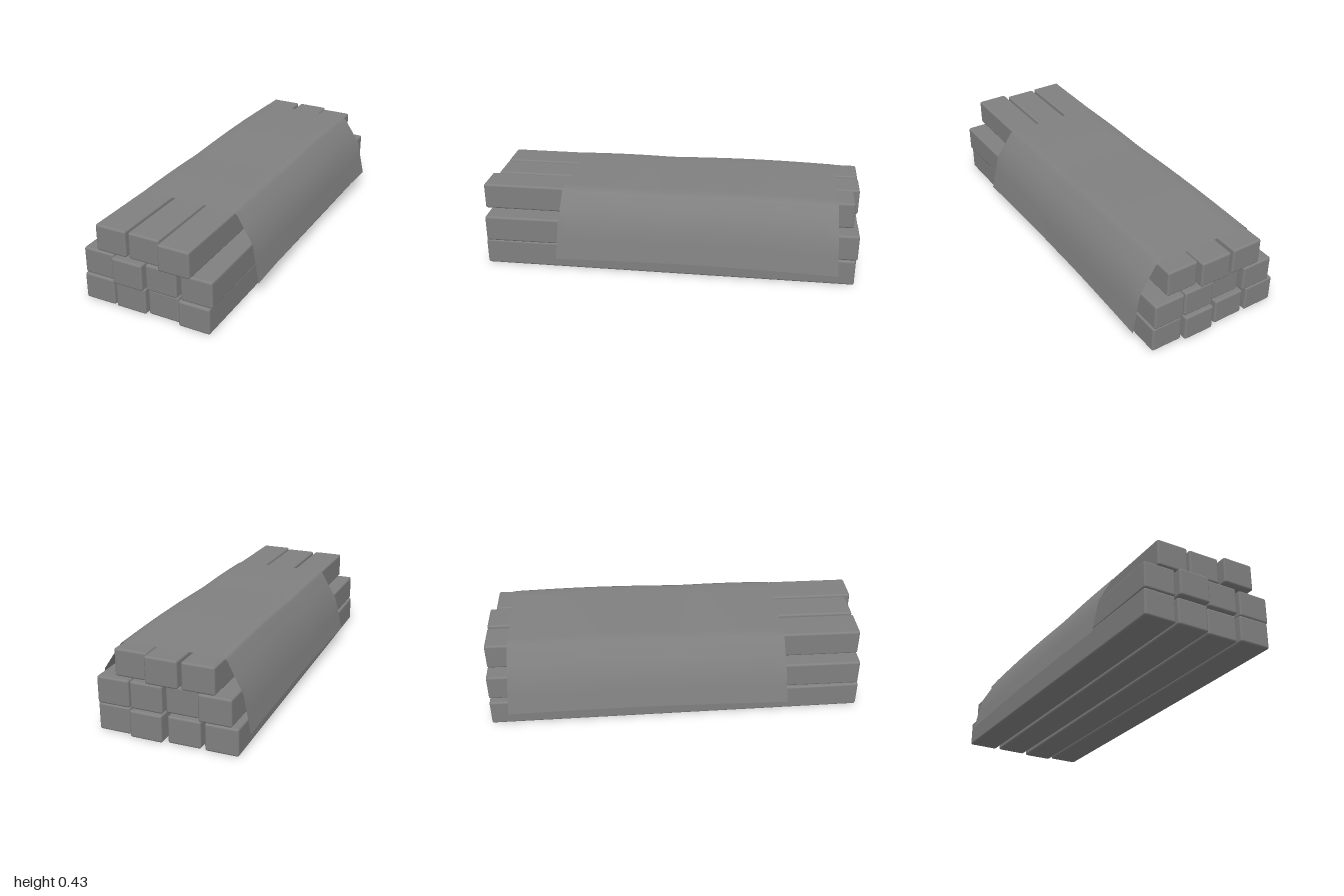
import * as THREE from 'three';
import { RoundedBoxGeometry } from 'three/addons/geometries/RoundedBoxGeometry.js';

const W = 0.167, H = 0.139, L = 1.955;

// Each beam: [x at front end, x at back end, z centre]
const ROWS = [
  { name: 'bottomBeam', y: 0.0695, beams: [[-0.268, -0.294, -0.007], [-0.09, -0.106, -0.005], [0.085, 0.085, -0.02], [0.26, 0.26, 0]] },
  { name: 'middleBeam', y: 0.211, beams: [[-0.263, -0.263, -0.01], [-0.089, -0.089, 0.017], [0.085, 0.085, -0.005], [0.273, 0.257, -0.007]] },
  { name: 'topBeam', y: 0.3525, beams: [[-0.187, -0.183, -0.01], [-0.006, 0.001, -0.012], [0.172, 0.172, 0.02]] },
];

// Tarp cross-section from right edge, over the top, to left edge
const SECTION = [
  [-0.399, 0.076], [-0.379, 0.168], [-0.358, 0.262], [-0.316, 0.337], [-0.276, 0.41],
  [-0.262, 0.4225], [-0.2, 0.4228], [0, 0.4228], [0.2, 0.4228], [0.246, 0.4225],
  [0.266, 0.414], [0.312, 0.345], [0.357, 0.275], [0.376, 0.178], [0.397, 0.076],
];

// Two shallow billows along the length, the rear one higher
function billow(t) {
  return t < 0.64
    ? 0.009 * Math.sin(Math.PI * t / 0.64)
    : 0.004 * Math.sin(Math.PI * (t - 0.64) / 0.36);
}

function createTarp(material) {
  const steps = 24, n = SECTION.length, positions = [], indices = [];
  for (let j = 0; j <= steps; j++) {
    const t = j / steps, middle = Math.sin(t * Math.PI);
    SECTION.forEach(([x, y]) => {
      // ends flare outward towards the hems
      const drop = (0.4228 - y) / 0.347;
      const z = THREE.MathUtils.lerp(-0.87 - 0.02 * drop, 0.563 + 0.022 * drop, t);
      // left side pulls in and the hems rise slightly mid-length
      const pull = x > 0 ? 0.006 * middle * drop : 0;
      positions.push(x - pull, y + billow(t) * (1 - drop) + 0.011 * middle * drop, z);
    });
  }
  for (let j = 0; j < steps; j++) {
    for (let i = 0; i < n - 1; i++) {
      const a = j * n + i, b = a + 1, c = a + n, d = c + 1;
      indices.push(a, c, b, b, c, d);
    }
  }
  const geometry = new THREE.BufferGeometry();
  geometry.setAttribute('position', new THREE.Float32BufferAttribute(positions, 3));
  geometry.setIndex(indices);
  geometry.computeVertexNormals();
  const tarp = new THREE.Mesh(geometry, material);
  tarp.name = 'tarp';
  return tarp;
}

export function createModel() {
  const model = new THREE.Group();
  model.name = 'coveredTimberStack';
  const wood = new THREE.MeshStandardMaterial({ color: 0x808080 });
  const cloth = new THREE.MeshStandardMaterial({ color: 0x808080, side: THREE.DoubleSide });

  // Stacked beams with softened edges, some slightly askew
  const beamGeometry = new RoundedBoxGeometry(W, H, L, 2, 0.011);
  for (const row of ROWS) {
    row.beams.forEach(([front, back, z], i) => {
      const beam = new THREE.Mesh(beamGeometry, wood);
      beam.name = row.name + (i + 1);
      beam.position.set((front + back) / 2, row.y, z);
      beam.rotation.y = Math.atan2(front - back, L);
      model.add(beam);
    });
  }

  // Cloth draped over the stack
  model.add(createTarp(cloth));
  return model;
}
